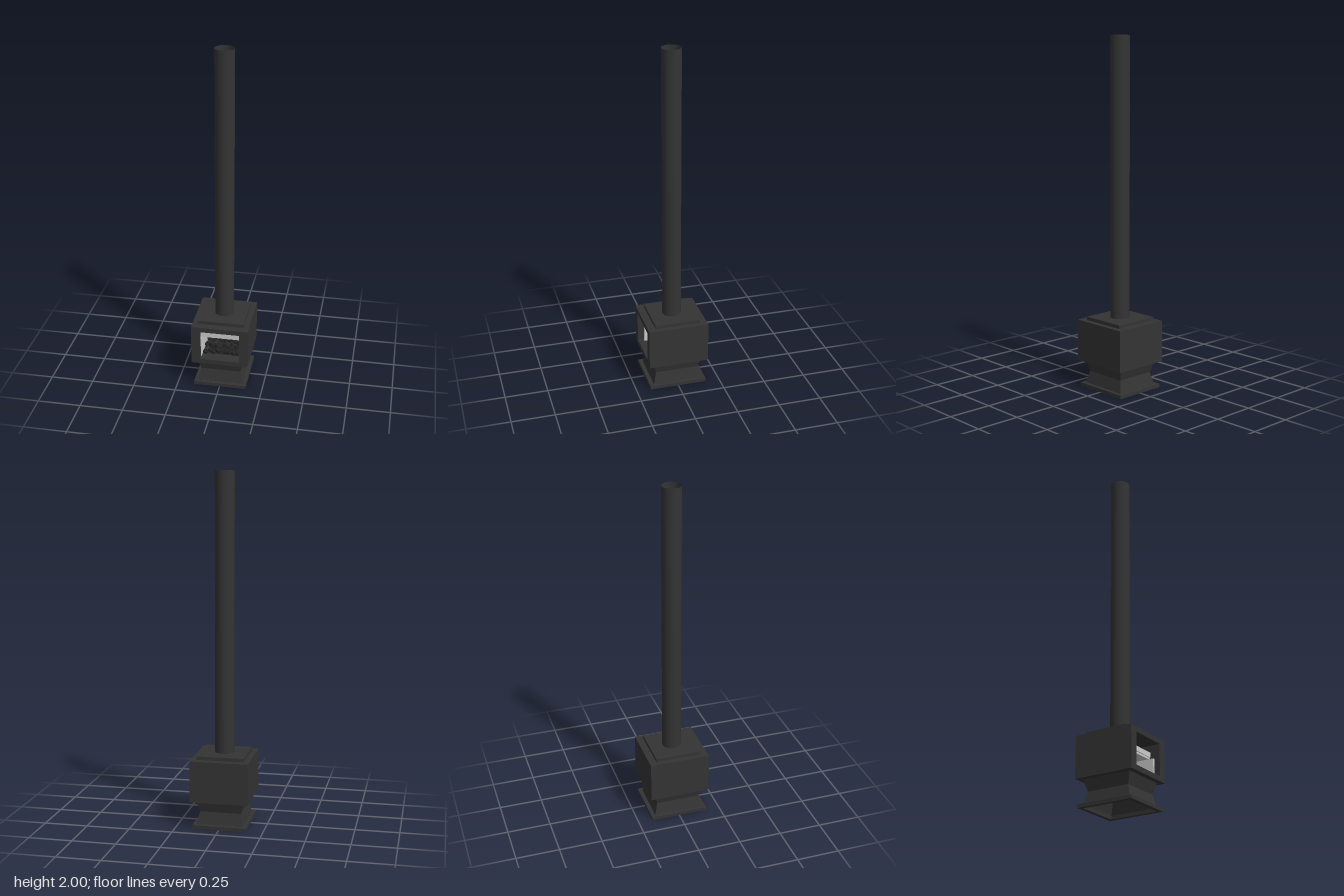
import * as THREE from 'three';

export function createModel() {
  const stove = new THREE.Group();
  stove.name = 'woodStove';

  const iron = new THREE.MeshStandardMaterial({ color: 0x343434, side: THREE.DoubleSide });
  iron.name = 'blackIron';
  const brick = new THREE.MeshStandardMaterial({ color: 0xcccccc });
  brick.name = 'paleFirebrick';
  const coal = new THREE.MeshStandardMaterial({ color: 0x262626 });
  coal.name = 'charcoal';

  const add = (name, geometry, material, x = 0, y = 0, z = 0) => {
    const mesh = new THREE.Mesh(geometry, material);
    mesh.name = name;
    mesh.position.set(x, y, z);
    stove.add(mesh);
    return mesh;
  };
  // Box given by its lower and upper corners
  const block = (name, material, [x0, y0, z0], [x1, y1, z1]) =>
    add(name, new THREE.BoxGeometry(x1 - x0, y1 - y0, z1 - z0), material,
      (x0 + x1) / 2, (y0 + y1) / 2, (z0 + z1) / 2);
  // Rectangular plate with a rectangular opening, half sizes, extruded along z
  const rectangle = (PathType, a, b) => new PathType([
    [-a, -b], [a, -b], [a, b], [-a, b], [-a, -b],
  ].map(([x, y]) => new THREE.Vector2(x, y)));
  const framePlate = (a, b, holeA, holeB, depth) => {
    const shape = rectangle(THREE.Shape, a, b);
    shape.holes.push(rectangle(THREE.Path, holeA, holeB));
    return new THREE.ExtrudeGeometry(shape, { depth, bevelEnabled: false });
  };

  // Base ring and waisted, hollow pedestal
  add('basePlate', framePlate(0.153, 0.168, 0.132, 0.144, 0.02).rotateX(-Math.PI / 2), iron);
  const profile = [[0.133, 0.02], [0.117, 0.09], [0.134, 0.156]]
    .map(([half, y]) => new THREE.Vector2(half * Math.SQRT2, y));
  let pedestal = new THREE.LatheGeometry(profile, 4, Math.PI / 4)
    .scale(1, 1, 1.08).toNonIndexed();
  pedestal.computeVertexNormals();
  add('pedestal', pedestal, iron);

  // Firebox shell
  const W = 0.165, D = 0.176, Y0 = 0.155, Y1 = 0.393;
  add('fireboxFloor', framePlate(W, D, 0.085, 0.085, 0.015).rotateX(-Math.PI / 2), iron, 0, Y0, 0);
  add('frontFrame', framePlate(W, (Y1 - Y0) / 2, 0.115, 0.09, 0.03), iron, 0, (Y0 + Y1) / 2, D - 0.03);
  block('backWall', iron, [-W, Y0, -D], [W, Y1, -D + 0.015]);
  block('roof', iron, [-W, Y1 - 0.015, -D], [W, Y1, D]);
  for (const s of [-1, 1]) {
    const x = s * (W - 0.0075);
    block(s > 0 ? 'leftWall' : 'rightWall', iron, [x - 0.0075, Y0, -D], [x + 0.0075, Y1, D]);
    // Firebrick lining
    block('sideBrick', brick, [s * 0.122 - 0.007, 0.17, -0.145], [s * 0.122 + 0.007, 0.29, 0.135]);
    block('backBrick', brick, [s * 0.057 - 0.0565, 0.17, -0.16], [s * 0.057 + 0.0565, 0.33, -0.145]);
  }
  // Stepped baffle across the upper firebox
  block('baffle', brick, [-0.129, 0.302, -0.145], [0.129, 0.33, 0.11]);
  block('bafflePlate', brick, [-0.129, 0.29, -0.145], [0.129, 0.302, 0.105]);

  // Top plate and open flue pipe
  block('topPlate', iron, [-0.135, Y1, -0.135], [0.135, 0.413, 0.132]);
  add('fluePipe', new THREE.CylinderGeometry(0.055, 0.055, 1.587, 24, 1, true), iron, 0, 1.2065, 0);

  // Bed of irregular coals
  let seed = 17;
  const random = () => (seed = (seed * 16807) % 2147483647) / 2147483647;
  for (let row = 0; row < 4; row++) {
    for (let i = 0; i < 9; i++) {
      const size = 0.013 + random() * 0.007;
      const lump = add('coal', new THREE.DodecahedronGeometry(size), coal,
        -0.096 + i * 0.024, 0.188 + random() * 0.014, -0.1 + row * 0.064 + (random() - 0.5) * 0.03);
      lump.scale.set(0.8, 0.8 + random() * 0.7, 1.2);
      lump.rotation.set(random() * 3, random() * 3, random() * 3);
    }
  }
  return stove;
}
